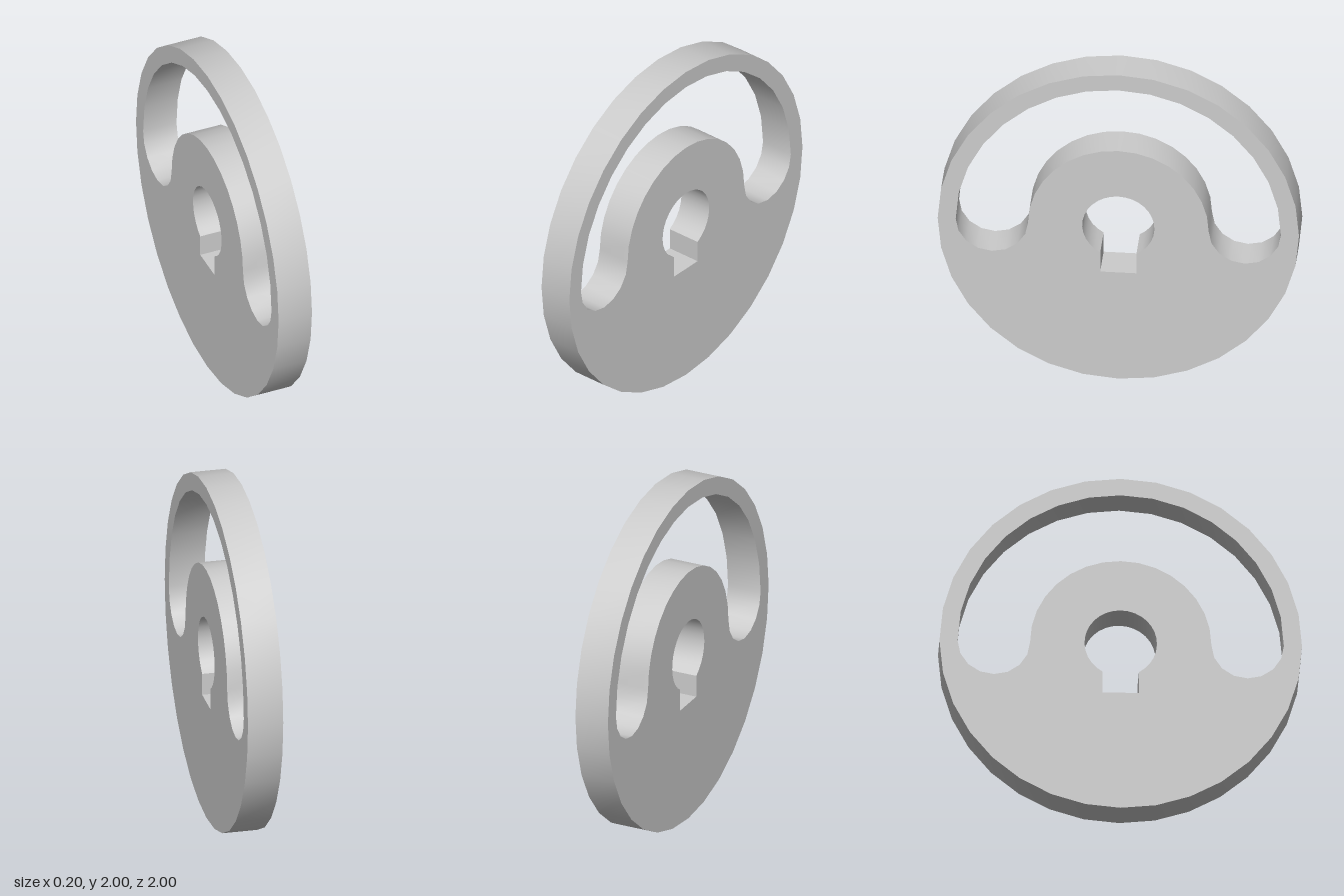
import * as THREE from 'three';
import { toCreasedNormals } from 'three/addons/utils/BufferGeometryUtils.js';

// Points along an arc centred at (cx, 0), from angle a to angle b
function arc(cx, radius, a, b, steps) {
  return Array.from({ length: steps + 1 }, (_, i) => {
    const t = a + ((b - a) * i) / steps;
    return new THREE.Vector2(cx + radius * Math.cos(t), radius * Math.sin(t));
  });
}

export function createModel() {
  const PI = Math.PI;
  const thickness = 0.2;

  // Round disc outline
  const disc = new THREE.Shape(arc(0, 1, 0, 2 * PI, 32).slice(0, -1));

  // Crescent slot over the hub, with rounded ends
  const slot = [
    ...arc(0, 0.9, 0, PI, 16),
    ...arc(-0.7, 0.2, PI, 2 * PI, 8).slice(1),
    ...arc(0, 0.5, PI, 0, 16).slice(1),
    ...arc(0.7, 0.2, PI, 2 * PI, 8).slice(1, -1).map((p) => new THREE.Vector2(p.x, p.y)),
  ];
  disc.holes.push(new THREE.Path(slot));

  // Shaft bore with a square keyway below it
  const bore = [
    ...arc(0, 0.2, -PI / 3, (4 * PI) / 3, 26),
    new THREE.Vector2(-0.1, -0.3),
    new THREE.Vector2(0.1, -0.3),
  ];
  disc.holes.push(new THREE.Path(bore));

  // Extrude, then turn the axle along x and stand the disc on the ground
  const extruded = new THREE.ExtrudeGeometry(disc, { depth: thickness, bevelEnabled: false });
  extruded.translate(0, 0, -thickness / 2).rotateY(PI / 2).translate(0, 1, 0);

  const wheel = new THREE.Mesh(
    toCreasedNormals(extruded, PI / 5),
    new THREE.MeshStandardMaterial({ color: 0xcccccc })
  );
  wheel.name = 'slottedWheel';

  const model = new THREE.Group();
  model.name = 'keyedWheel';
  model.add(wheel);
  return model;
}
